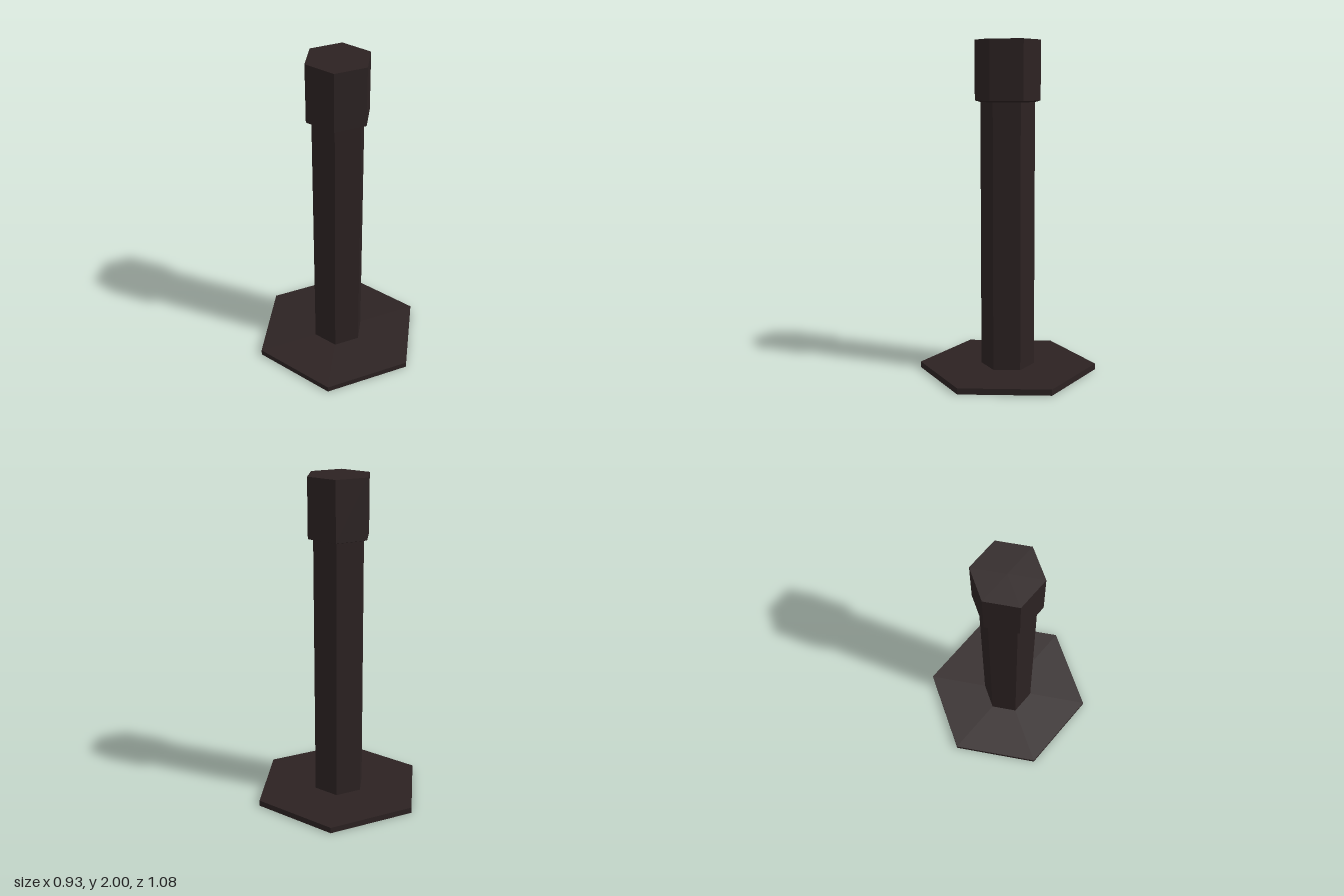
import * as THREE from 'three';

export function createModel() {
  const model = new THREE.Group();
  model.name = 'hexagonalPost';

  const darkBrown = new THREE.MeshStandardMaterial({ color: 0x2c2222, flatShading: true });
  darkBrown.name = 'darkBrown';

  // Six-sided prism between two heights, with corners on the z axis
  function hexPrism(name, topRadius, bottomRadius, y0, y1, open = false) {
    const geometry = new THREE.CylinderGeometry(topRadius, bottomRadius, y1 - y0, 6, 1, open);
    const mesh = new THREE.Mesh(geometry, darkBrown);
    mesh.name = name;
    mesh.position.y = (y0 + y1) / 2;
    model.add(mesh);
  }

  // Flat foot, slim column, and wider head with a shallow sloped underside
  hexPrism('basePlate', 0.539, 0.539, 0, 0.036);
  hexPrism('column', 0.162, 0.162, 0.036, 1.638, true);
  hexPrism('headUnderside', 0.195, 0.162, 1.637, 1.646, true);
  hexPrism('head', 0.195, 0.195, 1.646, 2);

  return model;
}
